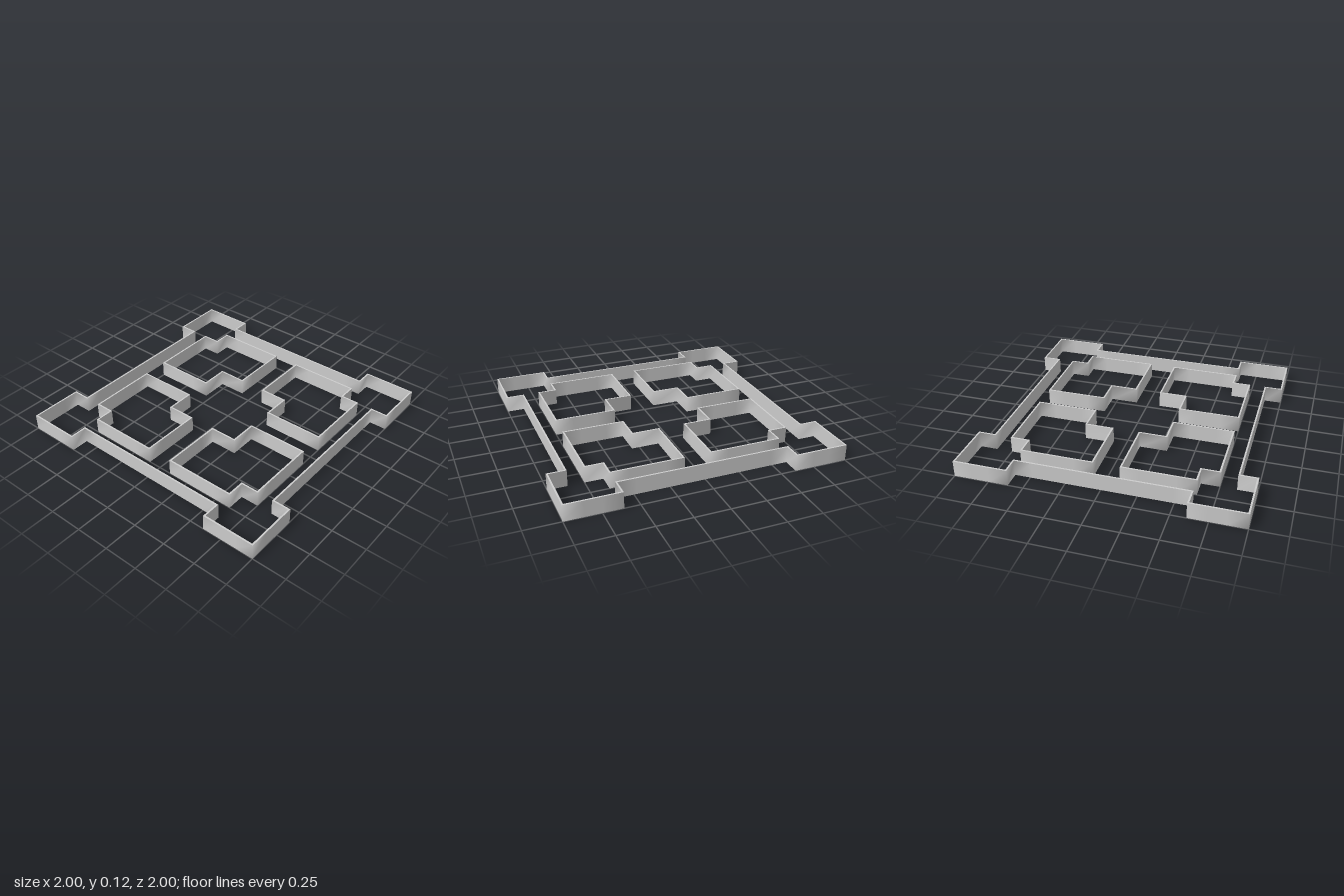
import * as THREE from 'three';

const HEIGHT = 0.117, HALF = 0.006, BEVEL = 0.13;

// Quarter turn about the vertical axis, repeated n times, on [x, z] points
const turn = (points, n) => {
  let out = points;
  for (let i = 0; i < n; i++) out = out.map(([x, z]) => [-z, x]);
  return out;
};

// Add points near both ends of long edges so the soft shading stays at the corners
function addSupports(points) {
  return points.flatMap((p, i) => {
    const q = points[(i + 1) % points.length];
    const length = Math.hypot(q[0] - p[0], q[1] - p[1]);
    if (length < 0.3) return [p];
    const at = (t) => [p[0] + (q[0] - p[0]) * t, p[1] + (q[1] - p[1]) * t];
    return [p, at(BEVEL / length), at(1 - BEVEL / length)];
  });
}

// Mitred offset of a right-angled loop
function offset(points, d) {
  const n = points.length;
  const normal = (a, b) => {
    const l = Math.hypot(b[0] - a[0], b[1] - a[1]);
    return [(b[1] - a[1]) / l, (a[0] - b[0]) / l];
  };
  return points.map((p, i) => {
    const a = normal(points[(i + n - 1) % n], p);
    const b = normal(p, points[(i + 1) % n]);
    const k = d / (1 + a[0] * b[0] + a[1] * b[1]);
    return [p[0] + k * (a[0] + b[0]), p[1] + k * (a[1] + b[1])];
  });
}

// Thin upright wall following a closed loop: outside, top, inside and underside strips
function wallGeometry(loop) {
  const path = addSupports(loop);
  const outer = offset(path, HALF), inner = offset(path, -HALF);
  const rings = [[outer, 0], [outer, HEIGHT], [inner, HEIGHT], [inner, 0]];
  const positions = [], indices = [], n = path.length;
  for (let s = 0; s < 4; s++) {
    const base = positions.length / 3;
    for (const [ring, y] of [rings[s], rings[(s + 1) % 4]]) {
      for (const [x, z] of ring) positions.push(x, y, z);
    }
    for (let i = 0; i < n; i++) {
      const j = (i + 1) % n;
      const a = base + i, b = base + j;
      indices.push(a, a + n, b, a + n, b + n, b);
    }
  }
  const geometry = new THREE.BufferGeometry();
  geometry.setAttribute('position', new THREE.Float32BufferAttribute(positions, 3));
  geometry.setIndex(indices);
  geometry.computeVertexNormals();
  return geometry;
}

export function createModel() {
  const group = new THREE.Group();
  group.name = 'cutterFrame';
  const grey = new THREE.MeshStandardMaterial({ color: 0xcccccc });
  grey.name = 'light grey';

  const addWall = (name, loop) => {
    const mesh = new THREE.Mesh(wallGeometry(loop), grey);
    mesh.name = name;
    group.add(mesh);
  };

  // Outer border with a square lobe at each corner
  const lobe = [[0.87, 0.615], [0.994, 0.615], [0.994, 0.994], [0.615, 0.994], [0.615, 0.87]];
  addWall('outerBorder', [0, 1, 2, 3].flatMap((i) => turn(lobe, i)));

  // Four inner cells, notched at two opposite corners
  const cell = [
    [0.3, 0.1], [0.744, 0.1], [0.744, 0.615], [0.615, 0.615],
    [0.615, 0.744], [0.1, 0.744], [0.1, 0.3], [0.3, 0.3],
  ];
  ['frontLeftCell', 'frontRightCell', 'backRightCell', 'backLeftCell']
    .forEach((name, i) => addWall(name, turn(cell, i)));

  return group;
}
